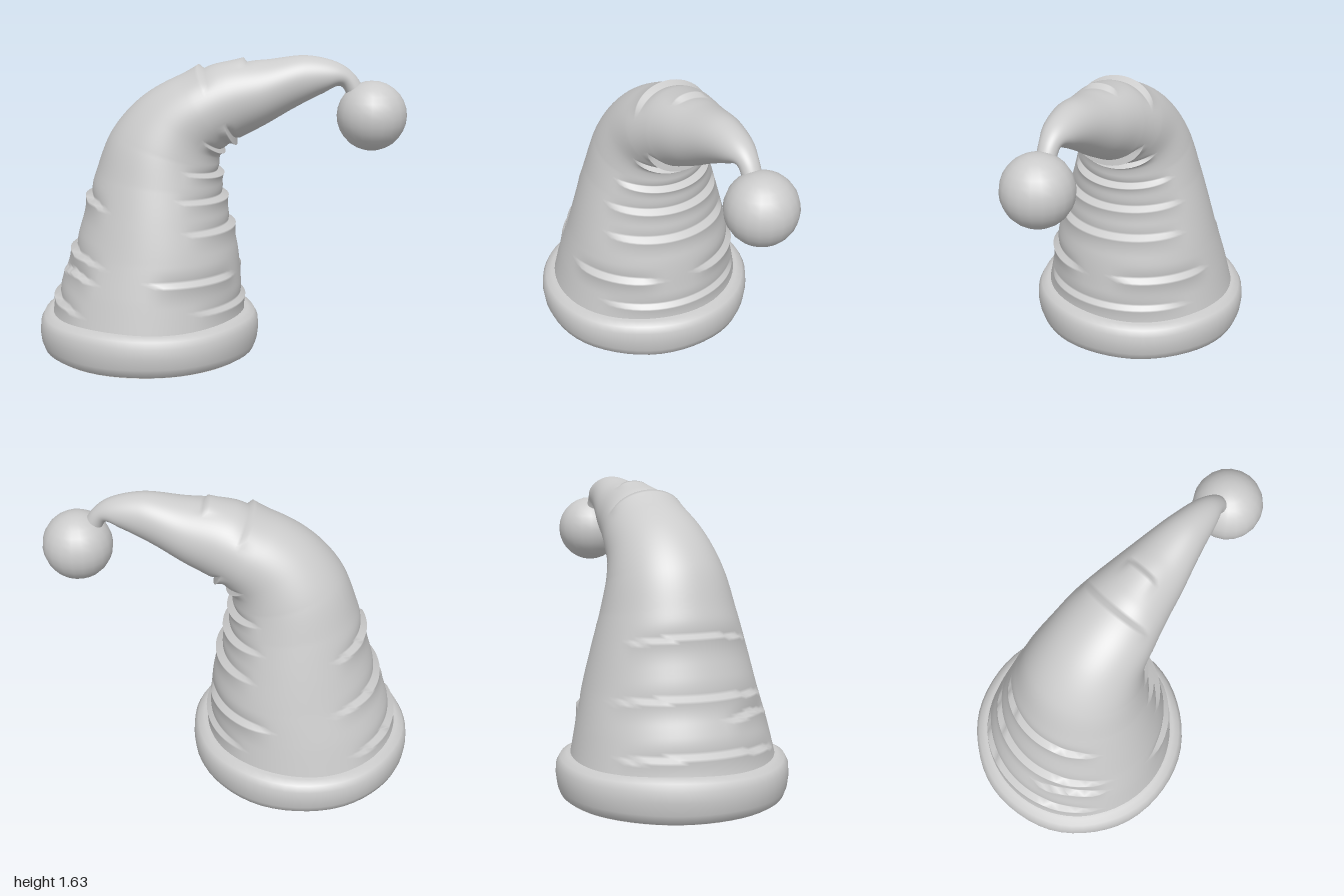
import * as THREE from 'three';

const material = new THREE.MeshStandardMaterial({ color: 0xcccccc, side: THREE.DoubleSide });

// Cross-sections from brim to tip: outer x, y, inner x, y, half depth
const SECTIONS = [
  [-0.93, 0.2, 0.14, 0.2, 0.54],
  [-0.87, 0.4, 0.12, 0.38, 0.5],
  [-0.8, 0.58, 0.1, 0.58, 0.455],
  [-0.73, 0.8, 0.055, 0.76, 0.405],
  [-0.67, 1.0, 0.02, 0.92, 0.355],
  [-0.58, 1.22, 0.0, 1.04, 0.31],
  [-0.42, 1.4, 0.01, 1.1, 0.275],
  [-0.2, 1.525, 0.05, 1.15, 0.25],
  [0.02, 1.59, 0.12, 1.19, 0.215],
  [0.24, 1.605, 0.25, 1.26, 0.175],
  [0.47, 1.63, 0.4, 1.35, 0.125],
  [0.64, 1.59, 0.55, 1.43, 0.085],
  [0.72, 1.53, 0.645, 1.47, 0.055],
  [0.79, 1.42, 0.7, 1.38, 0.05],
];

// Cloth folds: section position, centre angle (0 outer, 180 inner), half angle, depth, slant
const FOLDS = [
  [0.6, 0, 55, 0.022, 0.15],
  [1.5, 35, 24, 0.02, 0.2],
  [2.04, 0, 62, 0.022, 0.2],
  [3.38, 0, 55, 0.022, 0.15],
  [0.6, 180, 55, 0.018, 0],
  [1.46, 130, 32, 0.022, 0],
  [1.46, 220, 34, 0.022, 0],
  [2.75, 180, 60, 0.025, 0],
  [3.7, 180, 65, 0.025, 0],
  [4.6, 180, 60, 0.025, 0],
  [6.3, 180, 55, 0.02, 0],
  [7.6, 180, 60, 0.03, 0],
  [7.45, 0, 62, 0.02, 0],
  [8.5, 0, 28, 0.016, 0],
];

// Bulge rising to a crease, then a sharp step inwards that fades out
function foldOffset(t, angle) {
  let sum = 0;
  for (const [at, centre, half, depth, slant] of FOLDS) {
    const d = Math.abs(((angle - centre + 540) % 360) - 180) / half;
    if (d >= 1) continue;
    const s = t - (at - slant * d * d);
    const weight = 1 - d ** 4;
    if (s <= 0 && s > -0.6) sum += depth * weight * (1 + s / 0.6) ** 2;
    else if (s > 0 && s < 0.45) sum -= 0.7 * depth * weight * (1 - s / 0.45) ** 2;
  }
  return sum;
}

function createCone() {
  const last = SECTIONS.length - 1, rows = last * 14, cols = 72;
  const curve = (f) => new THREE.CatmullRomCurve3(SECTIONS.map(f));
  const outer = curve(([x, y]) => new THREE.Vector3(x, y, 0));
  const inner = curve(([, , x, y, w]) => new THREE.Vector3(x, y, w));
  const positions = [], index = [];
  for (let i = 0; i <= rows; i++) {
    const o = outer.getPoint(i / rows), n = inner.getPoint(i / rows);
    const width = n.z;
    n.z = 0;
    const centre = o.clone().add(n).multiplyScalar(0.5);
    const axis = o.clone().sub(centre);
    const radius = axis.length();
    for (let j = 0; j < cols; j++) {
      const a = (j / cols) * Math.PI * 2;
      const k = foldOffset((i / rows) * last, (j / cols) * 360);
      const p = centre.clone().addScaledVector(axis, Math.cos(a) * (1 + k / radius));
      positions.push(p.x, p.y, Math.sin(a) * (width + k));
      if (i === rows) continue;
      const b = i * cols + j, c = i * cols + ((j + 1) % cols);
      index.push(b, c, b + cols, c, c + cols, b + cols);
    }
  }
  const geometry = new THREE.BufferGeometry();
  geometry.setAttribute('position', new THREE.Float32BufferAttribute(positions, 3));
  geometry.setIndex(index);
  geometry.computeVertexNormals();
  return geometry;
}

// Rounded fur band with a slightly uneven surface
function createBrim() {
  const profile = [[0.56, 0.005], [0.585, 0.02], [0.6, 0.06], [0.608, 0.12], [0.604, 0.175], [0.585, 0.21], [0.55, 0.227], [0.48, 0.232]];
  const geometry = new THREE.LatheGeometry(profile.map(([r, y]) => new THREE.Vector2(r, y)), 56);
  const p = geometry.attributes.position;
  for (let i = 0; i < p.count; i++) {
    const a = Math.atan2(p.getZ(i), p.getX(i)), y = p.getY(i);
    const k = 1 + 0.006 * Math.sin(5 * a + 9 * y) * Math.sin(3 * a);
    p.setXYZ(i, p.getX(i) * k, y > 0.1 ? y + 0.005 * Math.sin(4 * a) : y, p.getZ(i) * k);
  }
  return geometry;
}

export function createModel() {
  const group = new THREE.Group();
  const add = (name, geometry, x = 0, y = 0) => {
    const mesh = new THREE.Mesh(geometry, material);
    mesh.name = name;
    mesh.position.set(x, y, 0);
    group.add(mesh);
    return mesh;
  };
  add('hatCone', createCone());
  add('brim', createBrim(), -0.39);
  add('base', new THREE.CircleGeometry(0.562, 56).rotateX(Math.PI / 2), -0.39, 0.004);
  add('pompom', new THREE.SphereGeometry(0.185, 20, 14), 0.813, 1.315);
  return group;
}
